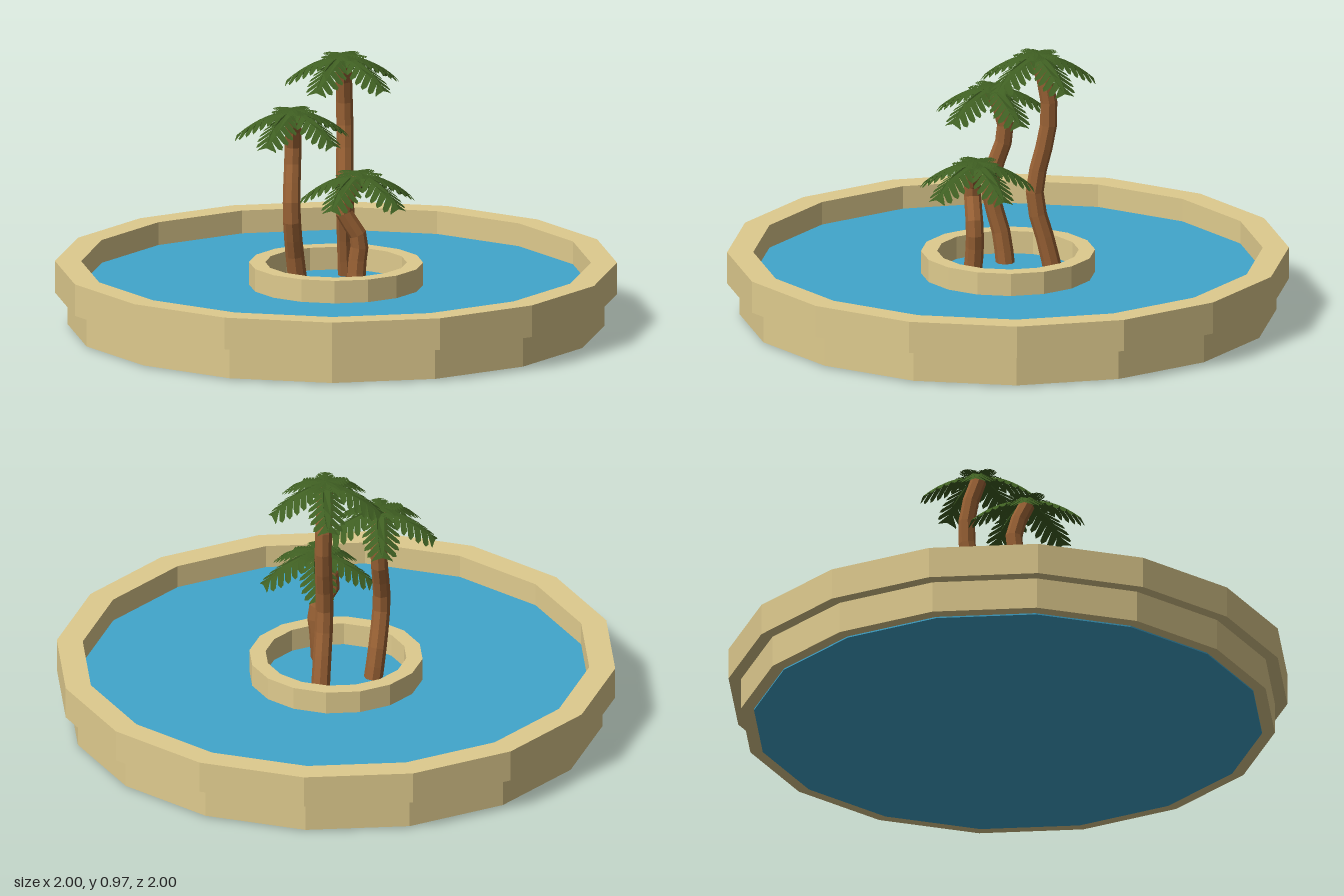
import * as THREE from 'three';

const SIDES = 16;
const sand = new THREE.MeshStandardMaterial({ color: 0xdfcb8e, flatShading: true });
const blue = new THREE.MeshStandardMaterial({ color: 0x41a6cc, flatShading: true });
const bark = new THREE.MeshStandardMaterial({ color: 0x9a6235, flatShading: true });
const green = new THREE.MeshStandardMaterial({ color: 0x3f5f22, flatShading: true, side: THREE.DoubleSide });

function add(parent, name, geometry, material) {
  const mesh = new THREE.Mesh(geometry, material);
  mesh.name = name;
  parent.add(mesh);
  return mesh;
}

// Closed ring turned from [radius, height] points
function ring(points) {
  const profile = [...points, points[0]].map(([r, y]) => new THREE.Vector2(r, y));
  return new THREE.LatheGeometry(profile, SIDES);
}

// Notched frond lying along +z, arched downward and drooping at its sides
function frondGeometry(length, halfWidth, arch, droop) {
  const teeth = 8;
  const side = [];
  for (let i = 0; i < teeth; i++) {
    const t = (i + 0.35) / teeth;
    const w = halfWidth * Math.pow(Math.sin(Math.PI * (0.12 + 0.8 * t)), 0.7);
    const at = (u) => Math.min(u, 1) * length;
    side.push([0.2 * w, at(i / teeth)]);
    side.push([0.95 * w, at(t + 0.06)]);
    side.push([w, at(t + 0.11)]);
    side.push([0.75 * w, at(t + 0.14)]);
  }
  const outline = [
    ...side, [0, length],
    ...side.map(([x, z]) => [-x, z]).reverse(),
  ].map(([x, z]) => new THREE.Vector2(x, z));
  const geo = new THREE.ShapeGeometry(new THREE.Shape(outline));
  const p = geo.attributes.position;
  for (let i = 0; i < p.count; i++) {
    const x = p.getX(i), z = p.getY(i), t = z / length;
    p.setXYZ(i, x, -arch * t * t - droop * Math.pow(Math.abs(x) / halfWidth, 1.5), z);
  }
  geo.computeVertexNormals();
  return geo;
}

// Tube trunk narrowed toward its top
function trunkGeometry(points) {
  const curve = new THREE.CatmullRomCurve3(points.map((q) => new THREE.Vector3(...q)));
  const rows = 10, sides = 8;
  const geo = new THREE.TubeGeometry(curve, rows, 0.034, sides);
  const p = geo.attributes.position, v = new THREE.Vector3();
  for (let i = 0; i < p.count; i++) {
    const t = Math.floor(i / (sides + 1)) / rows;
    const c = curve.getPointAt(t);
    v.fromBufferAttribute(p, i).sub(c).multiplyScalar(1 - 0.15 * t).add(c);
    p.setXYZ(i, v.x, v.y, v.z);
  }
  return geo;
}

const bigFrond = frondGeometry(0.205, 0.068, 0.095, 0.035);
const topFrond = frondGeometry(0.085, 0.035, 0.006, 0.006);

function palm(name, points, turn) {
  const tree = new THREE.Group();
  tree.name = name;
  add(tree, 'trunk', trunkGeometry(points), bark);
  const crown = new THREE.Group();
  crown.name = 'crown';
  crown.position.set(...points[points.length - 1]);
  crown.rotation.y = turn;
  for (let i = 0; i < 5; i++) {
    const angle = (i * 2 * Math.PI) / 5;
    // Large hanging frond
    const low = add(crown, 'frond', bigFrond, green);
    low.rotation.y = angle;
    low.position.y = 0.012;
    // Small flat frond closing the top
    const high = add(crown, 'topFrond', topFrond, green);
    high.rotation.y = angle + Math.PI / 5;
    high.position.y = 0.02;
  }
  tree.add(crown);
  return tree;
}

export function createModel() {
  const model = new THREE.Group();
  model.name = 'palmPool';

  // Pool wall in two steps
  add(model, 'lowerWall', ring([[0.955, 0.005], [0.955, 0.12], [0.905, 0.12], [0.905, 0.005]]), sand);
  add(model, 'upperRim', ring([[1, 0.12], [1, 0.235], [0.907, 0.235], [0.907, 0.12]]), sand);

  // Water body, also closing the underside
  const water = add(model, 'water', new THREE.CylinderGeometry(0.909, 0.909, 0.152, SIDES), blue);
  water.position.y = 0.076;

  // Island ring around the palms
  add(model, 'islandRing', ring([[0.31, 0.14], [0.31, 0.234], [0.252, 0.234], [0.252, 0.14]]), sand);

  // Three bent palms
  model.add(palm('tallPalm', [
    [0.145, 0.13, -0.09], [0.125, 0.25, -0.075], [0.088, 0.45, -0.045],
    [0.122, 0.7, -0.08], [0.118, 0.83, -0.08], [0.09, 0.95, -0.055],
  ], 0));
  model.add(palm('mediumPalm', [
    [-0.095, 0.13, -0.09], [-0.115, 0.25, -0.09], [-0.152, 0.43, -0.07],
    [-0.112, 0.62, -0.105], [-0.115, 0.69, -0.1], [-0.143, 0.783, -0.07],
  ], 0));
  model.add(palm('shortPalm', [
    [-0.045, 0.13, 0.145], [-0.032, 0.25, 0.14], [-0.027, 0.35, 0.145],
    [-0.07, 0.45, 0.11], [-0.06, 0.51, 0.12], [-0.025, 0.568, 0.14],
  ], 0));

  return model;
}
